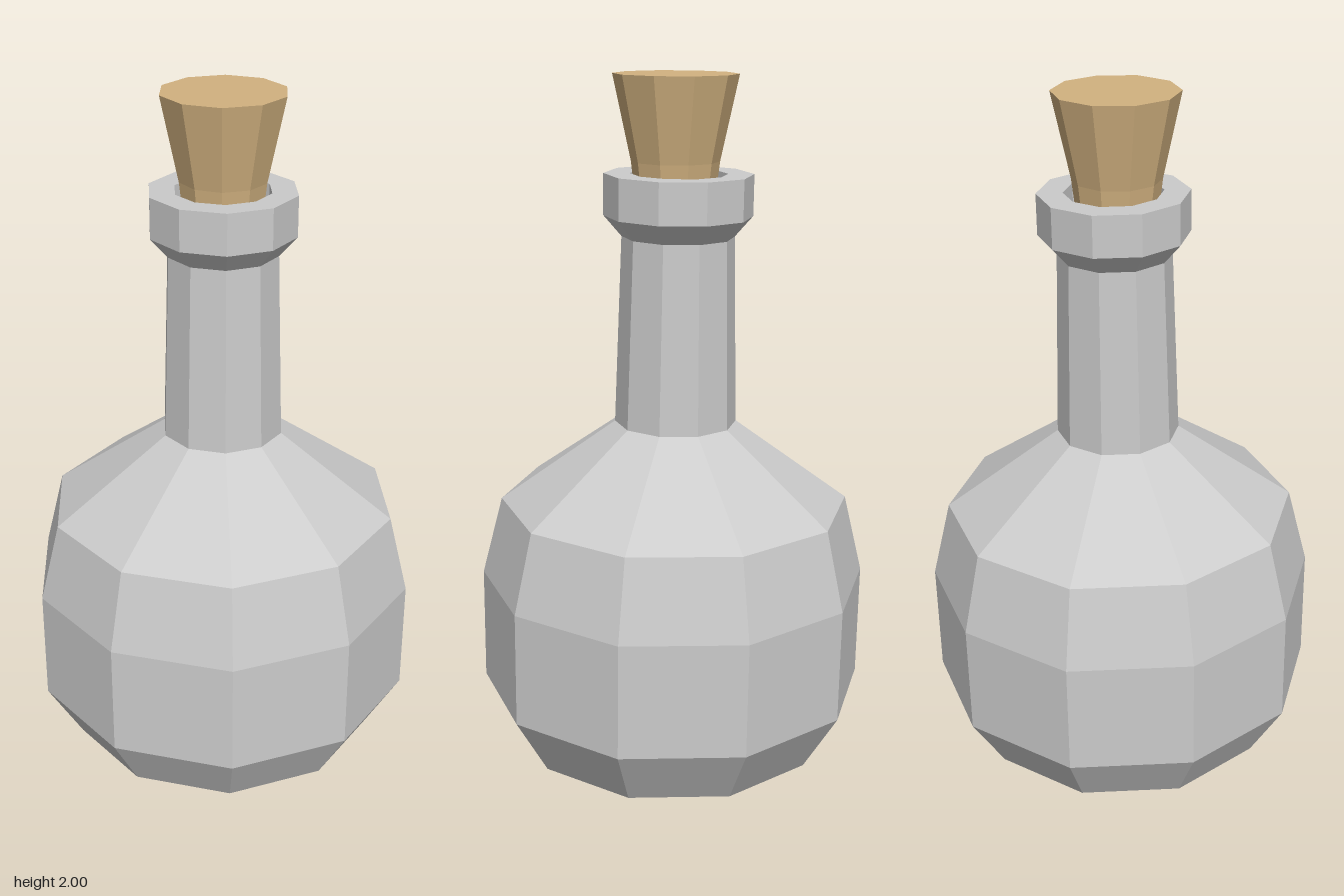
import * as THREE from 'three';

const SIDES = 10;

// Faceted solid of revolution from [radius, height] pairs, listed bottom to top
function turned(name, profile, color, startDegrees) {
  const points = profile.map(([r, y]) => new THREE.Vector2(r, y));
  const geometry = new THREE.LatheGeometry(points, SIDES, THREE.MathUtils.degToRad(startDegrees));
  const material = new THREE.MeshStandardMaterial({ color, flatShading: true });
  const mesh = new THREE.Mesh(geometry, material);
  mesh.name = name;
  return mesh;
}

export function createModel() {
  const model = new THREE.Group();
  model.name = 'corkedBottle';

  // Bottle: rounded belly, sloping shoulder, tapered neck, flared lip and hollow mouth
  const bottle = turned('bottle', [
    [0, 0.005], [0.265, 0.005],
    [0.455, 0.068], [0.557, 0.242], [0.557, 0.57], [0.5, 0.797],
    [0.173, 1.03], [0.157, 1.56],
    [0.207, 1.617], [0.207, 1.732],
    [0.135, 1.732], [0.125, 1.5], [0, 1.5],
  ], 0xcccccc, 22.6);
  // The bottle leans very slightly backwards
  bottle.rotation.set(-0.018, 0, 0.004);
  bottle.position.set(0.002, 0, 0.007);
  model.add(bottle);

  // Cork: wide flat top narrowing into the mouth
  const cork = turned('cork', [
    [0, 1.58], [0.1, 1.58], [0.122, 1.765], [0.172, 1.998], [0, 1.998],
  ], 0xd2b280, 18);
  cork.rotation.x = -0.01;
  cork.position.z = 0.004;
  model.add(cork);

  return model;
}
